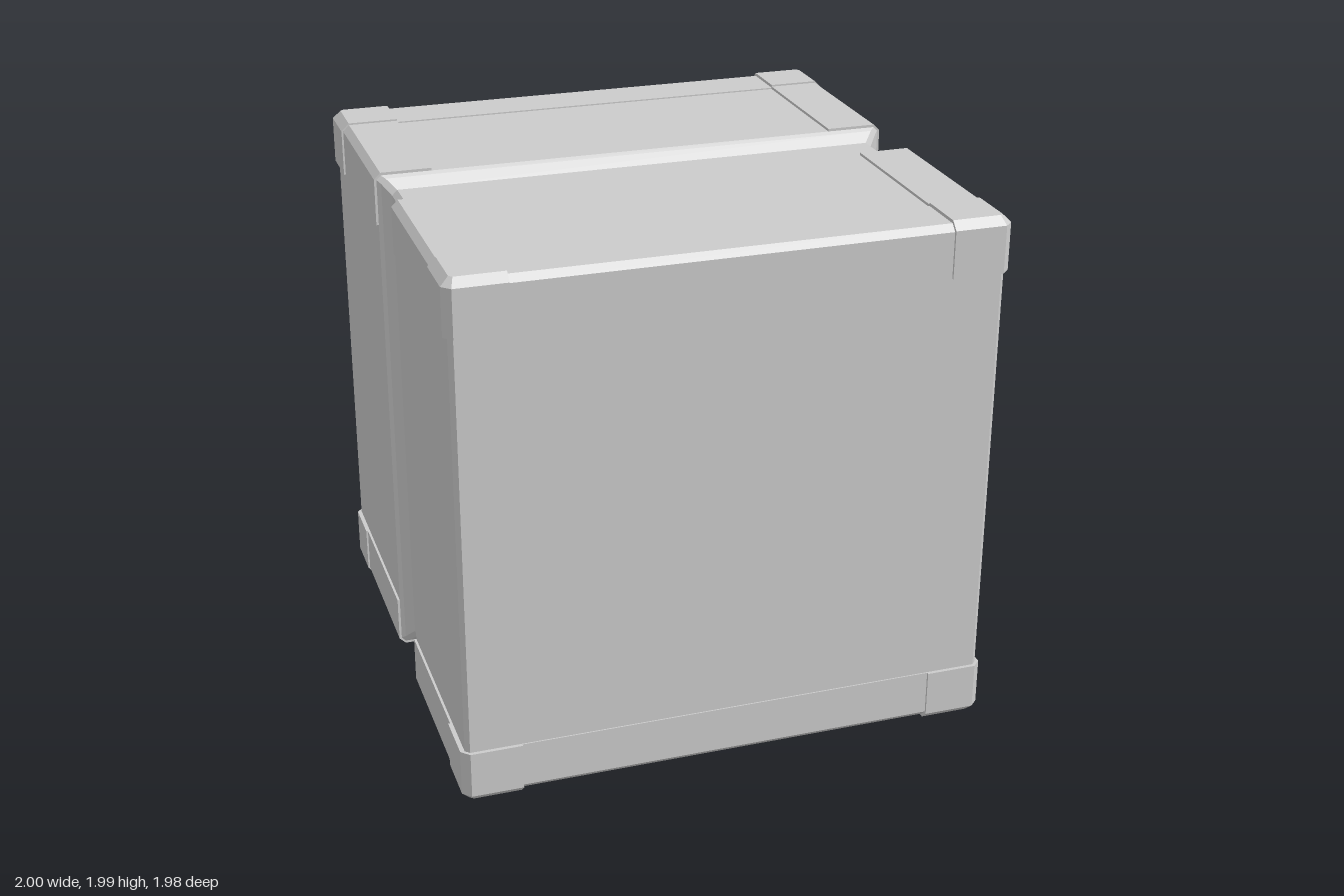
import * as THREE from 'three';

const MID = 0.9925; // half height; parts are built around the centre
const material = new THREE.MeshStandardMaterial({ color: 0xcccccc, flatShading: true });

// Closed solid through rings of [x, y, z] points, optionally mirrored by signs
function loft(name, rings, signs = [1, 1, 1]) {
  const n = rings[0].length;
  const pts = rings.flat().map(p => new THREE.Vector3(p[0] * signs[0], p[1] * signs[1], p[2] * signs[2]));
  const tris = [];
  for (let r = 0; r < rings.length - 1; r++) {
    for (let i = 0; i < n; i++) {
      const j = (i + 1) % n, a = r * n + i, b = r * n + j;
      tris.push([a, b, b + n], [a, b + n, a + n]);
    }
  }
  const last = (rings.length - 1) * n;
  for (let i = 1; i < n - 1; i++) tris.push([0, i + 1, i], [last, last + i, last + i + 1]);
  // Keep faces pointing outwards, also after mirroring
  const c = new THREE.Vector3();
  pts.forEach(p => c.addScaledVector(p, 1 / pts.length));
  let volume = 0;
  for (const [i, j, k] of tris) {
    const [a, b, d] = [i, j, k].map(q => pts[q].clone().sub(c));
    volume += a.dot(b.cross(d));
  }
  const pos = [];
  for (const [i, j, k] of tris) {
    for (const q of volume < 0 ? [i, k, j] : [i, j, k]) pos.push(...pts[q].toArray());
  }
  const geo = new THREE.BufferGeometry();
  geo.setAttribute('position', new THREE.Float32BufferAttribute(pos, 3));
  geo.computeVertexNormals();
  const mesh = new THREE.Mesh(geo, material);
  mesh.name = name;
  return mesh;
}

// Rectangle with cut corners at depth z
function octagon(x, y, c, z) {
  return [[x, y - c], [x - c, y], [c - x, y], [-x, y - c], [-x, c - y], [c - x, -y], [x - c, -y], [x, c - y]]
    .map(([px, py]) => [px, py, z]);
}

// Plan of a corner cap: square with its outer corner cut
function capRing(x, z, c, y) {
  return [[0.78, 0.77], [x, 0.77], [x, z - c], [x - c, z], [0.78, z]].map(([px, pz]) => [px, y, pz]);
}

// Bar profile: inner height, outer distance d, top height t, cut outer edge
function barProfile(d, t, inner) {
  const low = 1.78 - MID;
  return [[inner, low], [d, low], [d, t - 0.024], [d - 0.024, t], [inner, t]];
}

export function createModel() {
  const group = new THREE.Group();
  group.name = 'crate';
  const crate = new THREE.Group();
  crate.name = 'crateParts';
  crate.position.y = MID;
  group.add(crate);

  // Body with a recessed belt around the middle
  const half = [
    [0.938, 0.931, 0.02, 0.11],
    [0.97, 0.966, 0.018, 0.143],
    [0.984, 0.976, 0.016, 0.156],
    [0.984, 0.976, 0.016, 0.96],
    [0.968, 0.96, 0.012, 0.976],
  ];
  const sections = [
    ...half.slice().reverse().map(([x, y, c, z]) => octagon(x, y, c, -z)),
    ...half.map(([x, y, c, z]) => octagon(x, y, c, z)),
  ];
  crate.add(loft('body', sections));

  const frontProfile = barProfile(0.981, 0.981, 0.77);
  const sideProfile = barProfile(0.993, 0.986, 0.78);
  for (const sy of [1, -1]) {
    for (const sz of [1, -1]) {
      // Edge bar along the front or back
      crate.add(loft('endEdgeBar', [-0.78, 0.78].map(x => frontProfile.map(([z, y]) => [x, y, z])), [1, sy, sz]));
      for (const sx of [1, -1]) {
        // Edge bar along the side, stopping at the belt
        crate.add(loft('sideEdgeBar', [0.156, 0.77].map(z => sideProfile.map(([x, y]) => [x, y, z])), [sx, sy, sz]));
        // Corner cap, slightly proud of the bars
        crate.add(loft('cornerCap', [
          capRing(1, 0.99, 0.03, 1.78 - MID),
          capRing(1, 0.99, 0.03, MID - 0.03),
          capRing(0.97, 0.96, 0.012, MID),
        ], [sx, sy, sz]));
      }
    }
  }
  return group;
}
